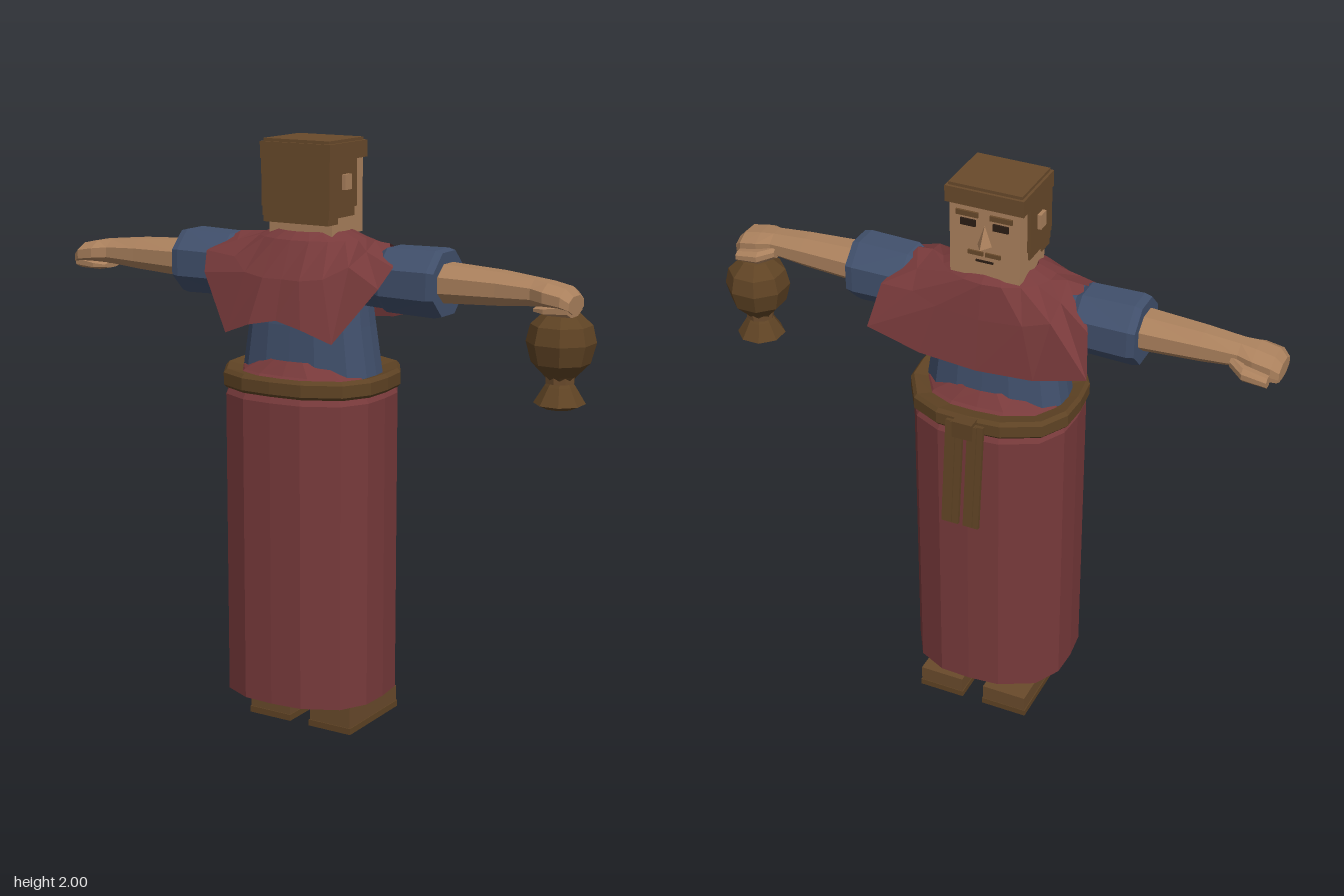
import * as THREE from 'three';

const mat = (name, color, side = THREE.FrontSide) => {
  const m = new THREE.MeshStandardMaterial({ color, side });
  m.name = name;
  return m;
};

// Skin a list of equal-length rings of [x, y, z]; optional end caps; faces turned outward
function loft(rings, caps = true) {
  const tris = [], n = rings[0].length;
  for (let i = 0; i < rings.length - 1; i++) {
    for (let j = 0; j < n; j++) {
      const k = (j + 1) % n, a = rings[i], b = rings[i + 1];
      tris.push([a[j], b[j], b[k]], [a[j], b[k], a[k]]);
    }
  }
  if (caps) {
    const first = rings[0], last = rings[rings.length - 1];
    for (let j = 1; j < n - 1; j++) {
      tris.push([first[0], first[j], first[j + 1]], [last[0], last[j + 1], last[j]]);
    }
  }
  const c = new THREE.Vector3();
  rings.flat().forEach(p => c.add(new THREE.Vector3(...p)));
  c.divideScalar(rings.length * n);
  let volume = 0;
  for (const t of tris) {
    const [a, b, d] = t.map(p => new THREE.Vector3(...p).sub(c));
    volume += a.dot(b.cross(d));
  }
  if (volume < 0) tris.forEach(t => t.reverse());
  const g = new THREE.BufferGeometry();
  g.setAttribute('position', new THREE.Float32BufferAttribute(tris.flat(2), 3));
  g.computeVertexNormals();
  return g;
}

// Rounded-box outline with 16 corners in the horizontal plane
const QUARTER = [[0, 1], [0.39, 0.96], [0.81, 0.73], [0.985, 0.38]];
function ring(y, rx, rz, cz = 0.027) {
  const pts = [];
  for (let q = 0; q < 4; q++) {
    for (let [u, v] of QUARTER) {
      for (let i = 0; i < q; i++) [u, v] = [v, -u];
      pts.push([u * rx, y, cz + v * rz]);
    }
  }
  return pts;
}

// Octagon across an arm
function armRing(s, [x, y, ry, z, rz]) {
  const k = 1 / Math.cos(Math.PI / 8);
  return Array.from({ length: 8 }, (_, i) => {
    const a = (i + 0.5) * Math.PI / 4;
    return [s * x, y + Math.sin(a) * ry * k, z + Math.cos(a) * rz * k];
  });
}

// Full loop from a half outline that starts at the face side and ends at the back
const mirrorRing = half => [...half, ...half.slice(1, -1).reverse().map(([x, y, z]) => [-x, y, z])];
const halfEllipse = (y, rx, rz) => Array.from({ length: 10 }, (_, i) => {
  const a = i * Math.PI / 9;
  return [rx * Math.sin(a), y, 0.02 - rz * Math.cos(a)];
});

export function createModel() {
  const red = mat('red cloth', 0x783a3b, THREE.DoubleSide);
  const blue = mat('blue cloth', 0x41506c);
  const skin = mat('skin', 0xab815d);
  const brown = mat('brown', 0x694a2b);
  const leather = mat('dark leather', 0x5f4324);
  const dark = mat('dark eyes', 0x2b1d14);

  const root = new THREE.Group();
  root.name = 'robedFigure';
  const body = new THREE.Group();
  body.name = 'body';
  body.position.x = -0.015;
  root.add(body);

  const add = (name, geometry, material) => {
    const m = new THREE.Mesh(geometry, material);
    m.name = name;
    body.add(m);
    return m;
  };
  // Box given by its lower and upper limits
  const box = (name, material, x0, x1, y0, y1, z0, z1) => {
    const m = add(name, new THREE.BoxGeometry(x1 - x0, y1 - y0, z1 - z0), material);
    m.position.set((x0 + x1) / 2, (y0 + y1) / 2, (z0 + z1) / 2);
    return m;
  };

  // Long skirt, open at the hem, gathered at the waist
  add('skirt', loft([
    ring(0.13, 0.28, 0.262), ring(1.165, 0.28, 0.262), ring(1.19, 0.265, 0.25),
    ring(1.24, 0.235, 0.185), ring(1.285, 0.14, 0.155)], false), red);

  // Belt with a knot and two hanging ends
  add('belt', loft([
    ring(1.185, 0.282, 0.255), ring(1.195, 0.291, 0.264), ring(1.235, 0.291, 0.264), ring(1.248, 0.28, 0.254),
    ring(1.235, 0.235, 0.2), ring(1.185, 0.235, 0.2), ring(1.185, 0.282, 0.255)], false), leather);
  box('beltKnot', leather, -0.035, 0.035, 1.185, 1.245, -0.272, -0.225);
  for (const [x, w] of [[0.035, 0.06], [-0.04, 0.055]]) {
    const end = box('beltEnd', leather, x - w / 2, x + w / 2, 0.855, 1.235, -0.277, -0.263);
    end.rotation.x = 0.11;
    const fold = box('beltEndFold', leather, x - 0.008, x + 0.012, 0.86, 1.235, -0.283, -0.268);
    fold.rotation.x = 0.11;
  }

  // Torso
  add('torso', loft([
    ring(1.22, 0.25, 0.148), ring(1.4, 0.222, 0.138), ring(1.58, 0.2, 0.11), ring(1.67, 0.14, 0.08)]), blue);

  // Shoulder cowl: collar rolling out into front and back drapes
  add('cowl', loft([
    halfEllipse(1.66, 0.1, 0.09),
    halfEllipse(1.705, 0.13, 0.105),
    halfEllipse(1.68, 0.19, 0.14),
    [[0, 1.56, -0.14], [0.15, 1.575, -0.14], [0.24, 1.6, -0.125], [0.25, 1.65, -0.07], [0.235, 1.68, 0.02],
      [0.25, 1.655, 0.1], [0.22, 1.61, 0.16], [0.15, 1.57, 0.205], [0.07, 1.56, 0.22], [0, 1.56, 0.215]],
    [[0, 1.385, -0.165], [0.2, 1.4, -0.165], [0.385, 1.455, -0.17], [0.36, 1.59, -0.11], [0.29, 1.675, 0.02],
      [0.36, 1.615, 0.12], [0.335, 1.55, 0.17], [0.205, 1.37, 0.24], [0.1, 1.41, 0.26], [0, 1.43, 0.25]],
  ].map((h, i) => mirrorRing(h)), false), red);

  for (const s of [-1, 1]) {
    // Sleeve, forearm and hand
    add('sleeve', loft([
      [0.14, 1.56, 0.085, 0.018, 0.085], [0.285, 1.562, 0.093, 0.018, 0.095],
      [0.305, 1.563, 0.104, 0.018, 0.105], [0.48, 1.563, 0.108, 0.018, 0.107],
      [0.505, 1.563, 0.102, 0.018, 0.102]].map(r => armRing(s, r))), blue);
    add('armAndHand', loft([
      [0.45, 1.567, 0.062, 0.022, 0.073], [0.51, 1.567, 0.062, 0.022, 0.072],
      [0.7, 1.567, 0.053, 0.022, 0.06], [0.82, 1.566, 0.042, 0.025, 0.054],
      [0.87, 1.562, 0.04, 0.03, 0.07], [0.93, 1.553, 0.037, 0.03, 0.07],
      [0.955, 1.538, 0.028, 0.03, 0.055]].map(r => armRing(s, r))), skin);
    add('thumb', loft([
      [0.8, 1.553, 0.02, -0.015, 0.025], [0.85, 1.54, 0.023, -0.05, 0.025],
      [0.93, 1.53, 0.018, -0.052, 0.022]].map(r => armRing(s, r))), skin);
    add('fingers', loft([
      [0.83, 1.517, 0.01, 0.03, 0.045], [0.87, 1.518, 0.018, 0.03, 0.06],
      [0.95, 1.525, 0.025, 0.03, 0.055]].map(r => armRing(s, r))), skin);

    // Shoe and leg
    const x = s * 0.121;
    box('sole', leather, x - 0.083, x + 0.083, 0, 0.022, -0.205, 0.115);
    box('shoeHeel', brown, x - 0.08, x + 0.08, 0.022, 0.1, -0.04, 0.112);
    box('shoeToe', brown, x - 0.08, x + 0.08, 0.022, 0.077, -0.203, -0.04);
    box('leg', brown, x - 0.05, x + 0.05, 0.1, 0.7, -0.03, 0.1);
  }

  // Gourd flask held under one hand
  const gourd = [[1.2, 0.045], [1.215, 0.076], [1.27, 0.045], [1.285, 0.035], [1.305, 0.05],
    [1.345, 0.086], [1.41, 0.102], [1.465, 0.09], [1.505, 0.05], [1.515, 0.02]];
  add('gourd', loft(gourd.map(([y, r]) =>
    armRing(1, [0, 0, r, 0, r]).map(([, a, b]) => [0.888 + a, y, b - 0.012]))), leather);
  const neckBand = add('gourdBand', new THREE.CylinderGeometry(0.048, 0.048, 0.022, 8).toNonIndexed(), brown);
  neckBand.geometry.computeVertexNormals();
  neckBand.position.set(0.888, 1.292, -0.012);

  // Head: skin block with hair boxes around it
  box('face', skin, -0.12, 0.12, 1.69, 1.945, -0.092, 0.1);
  box('neck', skin, -0.085, 0.085, 1.6, 1.7, -0.05, 0.085);
  box('hairTop', brown, -0.134, 0.134, 1.935, 1.99, -0.098, 0.134);
  box('hairCrown', brown, -0.125, 0.125, 1.99, 2, -0.088, 0.125);
  box('hairSides', brown, -0.131, 0.131, 1.78, 1.935, -0.037, 0.131);
  box('hairLower', brown, -0.127, 0.127, 1.75, 1.78, -0.03, 0.13);
  box('hairNape', brown, -0.125, 0.125, 1.73, 1.75, 0.07, 0.13);
  for (const s of [-1, 1]) {
    box('ear', skin, s * 0.134 - 0.01, s * 0.134 + 0.01, 1.84, 1.89, 0.015, 0.055);
    box('brow', brown, s * 0.058 - 0.038, s * 0.058 + 0.038, 1.9, 1.917, -0.1, -0.092);
    box('eye', dark, s * 0.056 - 0.026, s * 0.056 + 0.026, 1.866, 1.889, -0.098, -0.092);
    box('moustache', brown, s * 0.03 - 0.026, s * 0.03 + 0.026, 1.768, 1.782, -0.098, -0.092);
  }
  box('mouth', dark, -0.03, 0.03, 1.745, 1.752, -0.096, -0.092);
  const nose = add('nose', new THREE.ConeGeometry(0.038, 0.07, 4).toNonIndexed(), skin);
  nose.geometry.computeVertexNormals();
  nose.scale.x = 0.65;
  nose.position.set(0, 1.84, -0.092);

  return root;
}
